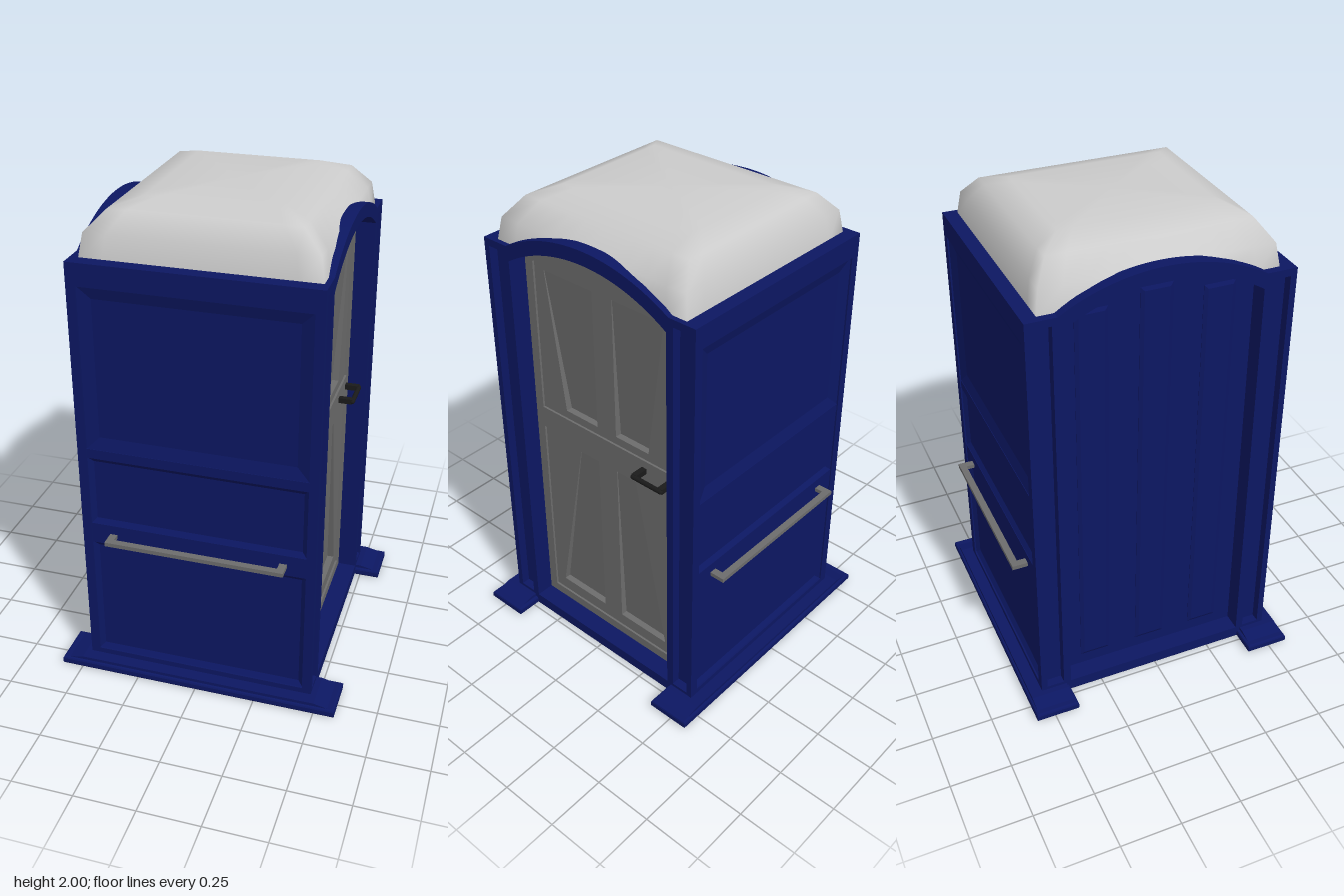
import * as THREE from 'three';

const mat = (color, side = THREE.FrontSide) => new THREE.MeshStandardMaterial({ color, side });
const blue = mat(0x0c1762), blueThin = mat(0x0c1762, THREE.DoubleSide);
const grey = mat(0x6c6c6c), greyThin = mat(0x6c6c6c, THREE.DoubleSide);
const black = mat(0x1a1a1a), white = mat(0xcccccc, THREE.DoubleSide);

function add(parent, name, geo, material) {
  const m = new THREE.Mesh(geo, material);
  m.name = name;
  parent.add(m);
  return m;
}

// Box given by its min and max on each axis
const box = (x0, x1, y0, y1, z0, z1) =>
  new THREE.BoxGeometry(x1 - x0, y1 - y0, z1 - z0).translate((x0 + x1) / 2, (y0 + y1) / 2, (z0 + z1) / 2);

// Extrude a shape between two depths
const slab = (shape, z0, z1) =>
  new THREE.ExtrudeGeometry(shape, { depth: z1 - z0, bevelEnabled: false }).translate(0, 0, z0);

const pts = list => list.map(([x, y]) => new THREE.Vector2(x, y));
const rect = (x0, x1, y0, y1) => pts([[x0, y0], [x1, y0], [x1, y1], [x0, y1]]);

// Height of a circular arc of given half width, foot height and rise
function arcY(u, half, foot, rise) {
  const r = (half * half + rise * rise) / (2 * rise);
  return foot + rise - r + Math.sqrt(r * r - u * u);
}
function arcPoints(half, foot, rise, n = 28) {
  return Array.from({ length: n + 1 }, (_, i) => {
    const u = half * (1 - 2 * i / n);
    return new THREE.Vector2(u, arcY(u, half, foot, rise));
  });
}
// Opening with straight sides and an arched head
const arched = (half, y0, foot, rise) =>
  [...pts([[-half, y0], [half, y0]]), ...arcPoints(half, foot, rise)];

// Skin through stacked rectangles [halfX, height, halfZ]
function loft(loops, n) {
  const corners = [[1, 1], [1, -1], [-1, -1], [-1, 1]];
  const pos = [], idx = [], count = 4 * n;
  for (const [hx, y, hz] of loops)
    for (let s = 0; s < 4; s++)
      for (let k = 0; k < n; k++) {
        const a = corners[s], b = corners[(s + 1) % 4], t = k / n;
        pos.push(hx * (a[0] + (b[0] - a[0]) * t), y, hz * (a[1] + (b[1] - a[1]) * t));
      }
  for (let i = 0; i < loops.length - 1; i++)
    for (let j = 0; j < count; j++) {
      const a = i * count + j, b = i * count + (j + 1) % count;
      idx.push(a, b, b + count, a, b + count, a + count);
    }
  const g = new THREE.BufferGeometry();
  g.setAttribute('position', new THREE.Float32BufferAttribute(pos, 3));
  g.setIndex(idx);
  return g;
}

// Wall outline of a given half width with an arched head and an arched opening
function archShape(half) {
  const shape = new THREE.Shape([
    ...pts([[-half, 0.02], [half, 0.02], [half, 1.8], [0.4, 1.8]]),
    ...arcPoints(0.4, 1.8, 0.11).slice(1), new THREE.Vector2(-half, 1.8)]);
  shape.holes.push(new THREE.Path(arched(0.39, 0.055, 1.74, 0.115)));
  return shape;
}

// Arched side wall: grooved front layer, thin backing and a deep reveal round the opening
function sideWall() {
  const g = new THREE.Group();
  const front = archShape(0.52);
  for (const s of [-1, 1])
    front.holes.push(new THREE.Path(rect(0.458 * s - 0.037, 0.458 * s + 0.037, 0.06, 1.77)));
  add(g, 'archedFrame', slab(front, 0.44, 0.477), blue);
  add(g, 'frameBacking', slab(archShape(0.498), 0.425, 0.44), blue);
  const reveal = new THREE.Shape(arched(0.405, 0.03, 1.75, 0.12));
  reveal.holes.push(new THREE.Path(arched(0.39, 0.055, 1.74, 0.115)));
  add(g, 'openingReveal', slab(reveal, 0.37, 0.43), blue);
  return g;
}

function door() {
  const g = new THREE.Group();
  g.name = 'door';
  const upper = arched(0.35, 1.065, 1.725, 0.1), lower = rect(-0.35, 0.35, 0.095, 0.97);
  const frame = new THREE.Shape(arched(0.395, 0.045, 1.745, 0.115));
  frame.holes.push(new THREE.Path(upper), new THREE.Path(lower));
  add(g, 'doorFrame', slab(frame, 0.355, 0.397), grey);

  // Panels with wedge recesses that deepen towards the bottom
  const specs = [
    { outline: upper, y0: 1.1, y1: 1.7, wide0: 0.22, wide1: 0.3 },
    { outline: lower, y0: 0.15, y1: 0.93, wide0: 0.3, wide1: 0.15 }];
  for (const { outline, y0, y1, wide0, wide1 } of specs) {
    const panel = new THREE.Shape(outline);
    for (const s of [-1, 1]) {
      const wedge = pts([[0.05 * s, y0], [wide0 * s, y0], [wide1 * s, y1], [0.05 * s, y1]]);
      panel.holes.push(new THREE.Path(wedge));
      const sheet = new THREE.ShapeGeometry(new THREE.Shape(wedge));
      const p = sheet.attributes.position;
      for (let i = 0; i < p.count; i++)
        p.setZ(i, 0.36 + 0.025 * (p.getY(i) - y0) / (y1 - y0));
      sheet.computeVertexNormals();
      add(g, 'doorRecess', sheet, greyThin);
    }
    add(g, 'doorPanel', slab(panel, 0.358, 0.388), grey);
  }

  // Lever handle
  for (const u of [0.205, 0.335])
    add(g, 'doorHandlePost', box(u - 0.012, u + 0.012, 1.01, 1.032, 0.39, 0.455), black);
  const grip = new THREE.CapsuleGeometry(0.01, 0.14, 4, 10).rotateZ(Math.PI / 2);
  add(g, 'doorHandleGrip', grip.translate(0.27, 1.021, 0.455), black);
  return g;
}

// Plain arched panel with shallow upright ribs
function ribbedPanel() {
  const g = new THREE.Group();
  g.name = 'ribbedPanel';
  add(g, 'panelSheet', slab(new THREE.Shape(arched(0.395, 0.045, 1.745, 0.115)), 0.38, 0.4), blue);
  for (const u of [-0.25, 0, 0.25]) {
    const top = arcY(u, 0.39, 1.74, 0.11) - 0.06;
    const rib = new THREE.Shape(rect(u - 0.05, u + 0.05, 0.12, top));
    add(g, 'panelRib', new THREE.ExtrudeGeometry(rib, {
      depth: 0.002, bevelThickness: 0.007, bevelSize: 0.014, bevelSegments: 1 }).translate(0, 0, 0.4), blue);
  }
  return g;
}

// Flat wall with three sunk panels, two rails and a grab bar
function flatWall() {
  const g = new THREE.Group();
  add(g, 'wallSheet', box(-0.44, 0.44, 0.02, 1.75, 0.475, 0.498), blue);
  add(g, 'topRail', box(-0.44, 0.44, 1.71, 1.8, 0.455, 0.52), blue);
  add(g, 'bottomRail', box(-0.44, 0.44, 0.02, 0.07, 0.475, 0.52), blue);
  for (const [y0, y1] of [[1.0, 1.04], [0.61, 0.7]])
    add(g, 'middleRail', box(-0.44, 0.44, y0, y1, 0.48, 0.515), blue);
  for (const [y0, y1, inset] of [[1.04, 1.71, 0.05], [0.7, 1.0, 0.02], [0.07, 0.61, 0.02]]) {
    const h = (y1 - y0) / 2;
    const bevel = loft([[0.44, 0.513, h], [0.44 - inset, 0.499, h - inset]], 1).toNonIndexed();
    bevel.rotateX(Math.PI / 2).translate(0, (y0 + y1) / 2, 0);
    bevel.computeVertexNormals();
    add(g, 'panelBevel', bevel, blueThin);
  }
  add(g, 'grabBar', box(-0.363, 0.363, 0.644, 0.661, 0.55, 0.578), grey);
  for (const s of [-1, 1])
    add(g, 'grabBarEnd', box(0.348 * s - 0.015, 0.348 * s + 0.015, 0.644, 0.661, 0.51, 0.565), grey);
  return g;
}

export function createModel() {
  const model = new THREE.Group();
  model.name = 'portableCabin';

  // Base plate: four projecting feet, open in the middle
  const quarter = [[0.467, 0.407], [0.577, 0.407], [0.577, 0.57], [-0.577, 0.57], [-0.577, 0.407], [-0.467, 0.407]];
  const plate = new THREE.Shape(pts([...quarter, ...quarter.map(([x, y]) => [-x, -y])]));
  plate.holes.push(new THREE.Path(rect(-0.435, 0.435, -0.485, 0.485)));
  const plateGeo = new THREE.ExtrudeGeometry(plate, {
    depth: 0.018, bevelThickness: 0.008, bevelSize: 0.01, bevelSegments: 2 });
  add(model, 'basePlate', plateGeo.rotateX(-Math.PI / 2).translate(0, 0.008, 0), blue);

  // Sloping tops of the feet, and the strips that join them along the front and back
  for (const sz of [-1, 1]) {
    for (const sx of [-1, 1]) {
      const foot = new THREE.Shape(pts([[0.45 * sx, 0.03], [0.575 * sx, 0.03], [0.5 * sx, 0.047], [0.45 * sx, 0.047]]));
      add(model, 'footTop', slab(foot, 0.49 * sz - 0.08, 0.49 * sz + 0.08), blue);
    }
    add(model, 'skidTop', box(-0.46, 0.46, 0.028, 0.047, 0.535 * sz - 0.035, 0.535 * sz + 0.035), blue);
  }

  // Side walls: door on the left, ribbed panel on the right
  for (const s of [1, -1]) {
    const wall = sideWall();
    wall.name = s > 0 ? 'doorWall' : 'ribbedWall';
    wall.add(s > 0 ? door() : ribbedPanel());
    wall.rotation.y = s * Math.PI / 2;
    model.add(wall);
  }

  // Front and back walls
  for (const [name, turn] of [['frontWall', 0], ['backWall', Math.PI]]) {
    const wall = flatWall();
    wall.name = name;
    wall.rotation.y = turn;
    model.add(wall);
  }

  // Domed roof, its lower edge lifted to follow the arches
  const roofGeo = loft([[0.452, 1.79, 0.466], [0.435, 1.89, 0.45],
    [0.36, 1.967, 0.395], [0.25, 2, 0.31], [0, 2, 0]], 10);
  const p = roofGeo.attributes.position;
  for (let i = 0; i < p.count; i++) {
    const z = p.getZ(i);
    if (Math.abs(z) < 0.4) p.setY(i, Math.max(p.getY(i), arcY(z, 0.4, 1.8, 0.11) - 0.03));
  }
  roofGeo.computeVertexNormals();
  add(model, 'roof', roofGeo, white).position.x = 0.006;

  return model;
}
